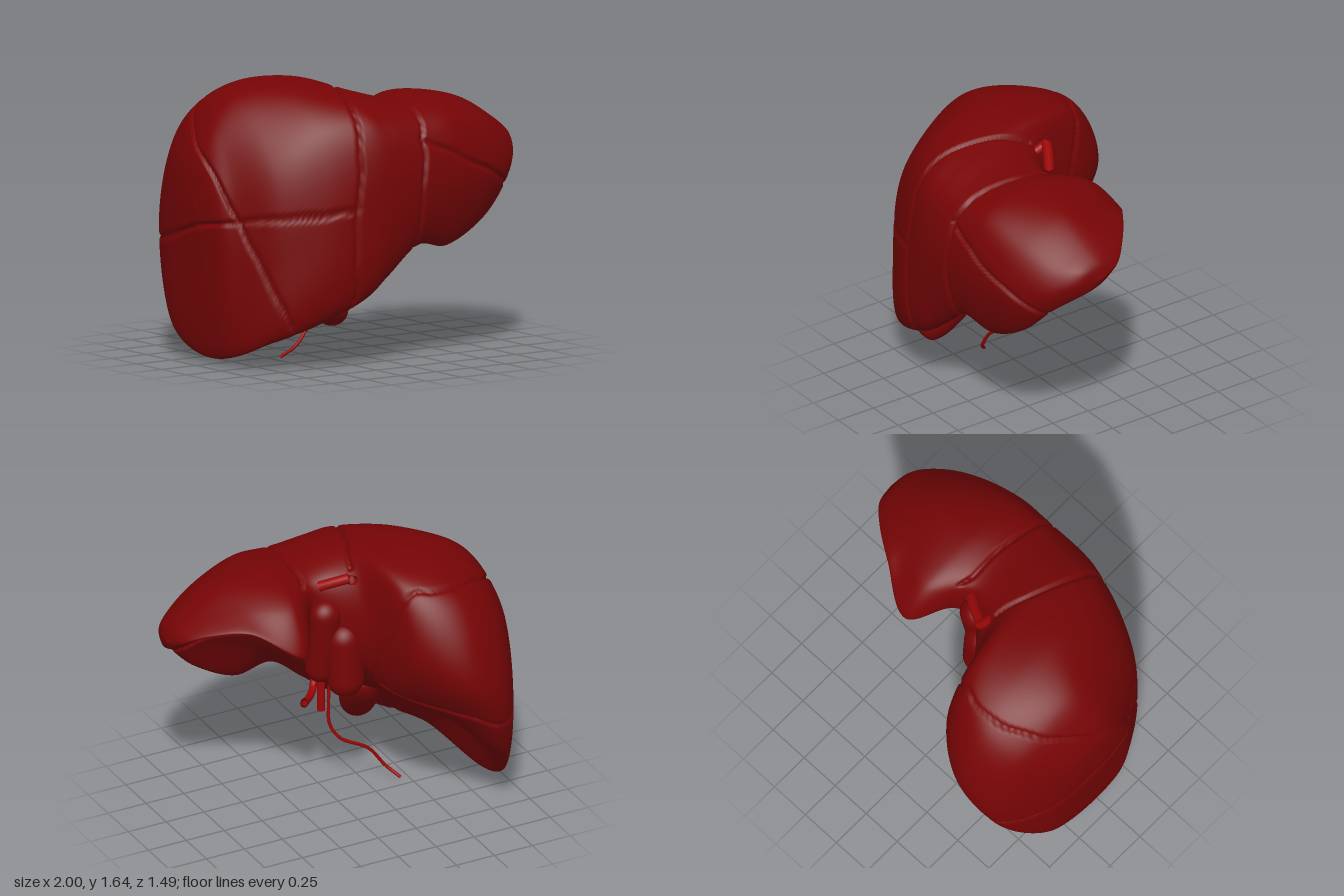
import * as THREE from 'three';

const V = (x, y, z) => new THREE.Vector3(x, y, z);
const curve = (pts, closed = false) =>
  new THREE.CatmullRomCurve3(pts.map((p) => (p.isVector3 ? p : V(...p))), closed, 'centripetal');

// Cross-sections at x, each a loop of [z, y]:
// front edge, front, upper front, top, upper back, back edge, hollow back, hollow front
const rightSections = [
  [-0.975, [[0.1, 0.7], [0.16, 0.84], [0.13, 1.06], [0, 1.2], [-0.17, 1.14], [-0.25, 0.9], [-0.17, 0.72], [0, 0.63]]],
  [-0.9, [[0.2, 0.1], [0.29, 0.6], [0.22, 1.12], [0, 1.38], [-0.34, 1.22], [-0.48, 0.76], [-0.38, 0.19], [-0.08, 0.045]]],
  [-0.75, [[0.43, 0.17], [0.5, 0.65], [0.41, 1.22], [-0.02, 1.55], [-0.49, 1.36], [-0.7, 0.8], [-0.56, 0.4], [-0.1, 0.42]]],
  [-0.5, [[0.57, 0.28], [0.65, 0.8], [0.52, 1.4], [0.05, 1.635], [-0.53, 1.48], [-0.745, 0.95], [-0.52, 0.66], [-0.04, 0.6]]],
  [-0.23, [[0.63, 0.41], [0.72, 0.88], [0.62, 1.44], [0.2, 1.61], [-0.38, 1.55], [-0.56, 1.12], [-0.36, 0.83], [0.05, 0.71]]],
];
const leftSections = [
  [-0.08, [[0.62, 0.52], [0.735, 0.95], [0.65, 1.41], [0.33, 1.565], [-0.03, 1.51], [-0.17, 1.2], [-0.1, 0.94], [0.24, 0.8]]],
  [0.15, [[0.62, 0.69], [0.735, 1.05], [0.64, 1.41], [0.35, 1.515], [0.06, 1.46], [0.02, 1.29], [0.07, 0.91], [0.36, 0.82]]],
  [0.37, [[0.58, 0.66], [0.725, 1.05], [0.63, 1.42], [0.28, 1.535], [-0.12, 1.44], [-0.28, 1.19], [-0.02, 1.31], [0.35, 0.95]]],
  [0.65, [[0.56, 0.8], [0.67, 1.06], [0.58, 1.34], [0.3, 1.48], [0.02, 1.43], [-0.14, 1.35], [0.07, 1.34], [0.4, 1.06]]],
  [0.85, [[0.5, 1.0], [0.56, 1.1], [0.5, 1.26], [0.3, 1.37], [0.11, 1.36], [0, 1.32], [0.13, 1.29], [0.34, 1.14]]],
  [0.965, [[0.36, 1.12], [0.41, 1.18], [0.37, 1.25], [0.27, 1.285], [0.19, 1.28], [0.12, 1.25], [0.17, 1.2], [0.26, 1.14]]],
];

// Furrows between the segments, as rough paths that are pulled onto the surface
const furrows = [
  [[-0.1, 1.5, 0.02], [-0.2, 1.6, 0.35], [-0.28, 1.46, 0.6], [-0.31, 1.2, 0.69], [-0.34, 0.95, 0.7], [-0.33, 0.4, 0.64]],
  [[0.2, 1.48, 0], [0.18, 1.5, 0.4], [0.13, 1.3, 0.69], [0.1, 0.95, 0.73], [0.1, 0.68, 0.62]],
  [[0.12, 1.32, 0.69], [0.5, 1.15, 0.7], [0.82, 0.98, 0.52], [0.5, 1.1, 0.3], [0.2, 1.1, 0.1]],
  [[-0.34, 0.94, 0.7], [-0.6, 0.92, 0.6], [-0.9, 0.87, 0.27], [-0.985, 0.83, 0.02], [-0.85, 0.68, -0.52],
    [-0.58, 0.72, -0.68], [-0.35, 0.82, -0.4], [-0.2, 0.86, -0.15]],
  [[-0.2, 0.86, -0.15], [-0.2, 1.2, -0.32], [-0.24, 1.53, -0.44], [-0.5, 1.5, -0.46], [-0.72, 1.42, -0.33],
    [-0.87, 1.3, -0.12], [-0.94, 1.12, 0.12], [-0.89, 0.87, 0.27], [-0.78, 0.5, 0.45], [-0.65, 0.22, 0.5],
    [-0.5, 0.45, 0.2], [-0.2, 0.86, -0.15]],
];

function liverGeometry() {
  const sections = [...rightSections, ...leftSections];
  const rows = (sections.length + 1) * 20, cols = 256;
  // Eight rails run from the right pole to the left pole
  const rails = [...Array(8).keys()].map((k) => curve([
    [-1, 0.93, -0.03], ...sections.map(([x, loop]) => [x, loop[k][1], loop[k][0]]), [1, 1.2, 0.25]]));
  const points = [], index = [];
  for (let i = 0; i <= rows; i++) {
    const pole = i === 0 || i === rows;
    const loop = pole ? null : curve(rails.map((r) => r.getPoint(i / rows)), true);
    for (let j = 0; j < cols; j++) {
      points.push(pole ? rails[0].getPoint(i / rows) : loop.getPoint(j / cols));
      if (i === rows) continue;
      const k = (j + 1) % cols, a = i * cols + j, b = a + cols, c = (i + 1) * cols + k, d = i * cols + k;
      if (i < rows - 1) index.push(a, b, c);
      if (i > 0) index.push(a, c, d);
    }
  }
  const geo = new THREE.BufferGeometry().setFromPoints(points);
  geo.setIndex(index);
  geo.computeVertexNormals();

  // Press the furrows into the surface
  const nearest = (p) => points.reduce((best, q) =>
    (q.distanceToSquared(p) < best.distanceToSquared(p) ? q : best), points[0]);
  const press = new Float32Array(points.length);
  for (const f of furrows) {
    const line = curve(f).getSpacedPoints(f.length * 3).map(nearest)
      .filter((p, i, all) => i === 0 || p.distanceTo(all[i - 1]) > 0.03);
    const samples = curve(line).getSpacedPoints(280);
    points.forEach((p, i) => {
      let d2 = 1;
      for (const s of samples) d2 = Math.min(d2, p.distanceToSquared(s));
      press[i] = Math.max(press[i], 0.021 * Math.exp(-d2 / 0.00015));
    });
  }
  const normal = geo.attributes.normal, pos = geo.attributes.position;
  points.forEach((p, i) => {
    const q = p.clone().addScaledVector(V(0, 0, 0).fromBufferAttribute(normal, i), -press[i]);
    pos.setXYZ(i, q.x, q.y, q.z);
  });
  geo.computeVertexNormals();
  return geo;
}

export function createModel() {
  const liverRed = new THREE.MeshStandardMaterial({ color: 0x760405 });
  const vesselRed = new THREE.MeshStandardMaterial({ color: 0x9a0607 });
  liverRed.name = 'liver red';
  vesselRed.name = 'vessel red';
  vesselRed.side = THREE.DoubleSide;
  const model = new THREE.Group();
  model.name = 'liver';
  const add = (name, geo, mat) => {
    const mesh = new THREE.Mesh(geo, mat);
    mesh.name = name;
    model.add(mesh);
    return mesh;
  };
  const vessel = (name, radius, pts) =>
    add(name, new THREE.TubeGeometry(curve(pts), 12 * pts.length, radius, 14), vesselRed);
  // Rounded upright lobe with half-widths rx, rz and a given height, leaning along z
  const lobe = (name, center, rx, rz, height, lean = 0) => {
    const mesh = add(name, new THREE.CapsuleGeometry(rx, height - 2 * rx, 12, 32), liverRed);
    mesh.position.set(...center);
    mesh.scale.z = rz / rx;
    mesh.rotation.x = lean;
  };

  add('liverBody', liverGeometry(), liverRed);

  // Tail lobe beside the great vein
  lobe('caudateLobeLeft', [0.08, 1.08, 0.03], 0.1, 0.09, 0.56, -0.12);
  lobe('caudateLobeRight', [-0.02, 0.97, -0.05], 0.11, 0.1, 0.47, 0.05);

  // Gallbladder: a pear laid along its axis from the rounded end to the neck
  const base = V(-0.4, 0.28, 0.55), neck = V(-0.28, 0.66, 0.17);
  const axis = neck.clone().sub(base), length = axis.length();
  const profile = new THREE.SplineCurve([[0, 0], [0.07, 0.02], [0.105, 0.11], [0.11, 0.26], [0.095, 0.42], [0.06, 0.51], [0, length]]
    .map((p) => new THREE.Vector2(...p))).getPoints(40).map((p) => new THREE.Vector2(Math.max(p.x, 0), p.y));
  const bladder = add('gallbladder', new THREE.LatheGeometry(profile, 36), liverRed);
  bladder.position.copy(base);
  bladder.quaternion.setFromUnitVectors(V(0, 1, 0), axis.normalize());
  lobe('gallbladderNeck', [-0.16, 0.745, 0.25], 0.07, 0.08, 0.15);

  // Vessels and duct
  vessel('hepaticVeinLeft', 0.03, [[0.12, 1.46, 0.01], [0.05, 1.49, -0.035], [-0.03, 1.52, -0.08]]);
  vessel('hepaticVeinRight', 0.028, [[-0.06, 1.45, 0.03], [-0.055, 1.48, -0.03], [-0.05, 1.51, -0.1]]);
  vessel('portalVein', 0.024, [[0.07, 0.59, 0.08], [0.07, 0.7, 0.08], [0.07, 0.85, 0.08]]);
  vessel('hepaticArtery', 0.022, [[0.18, 0.67, 0.08], [0.15, 0.62, 0.14], [0.09, 0.575, 0.23], [0, 0.56, 0.33],
    [-0.04, 0.59, 0.38], [-0.05, 0.66, 0.4]]);
  vessel('bileDuct', 0.01, [[-0.45, 0.01, 0.07], [-0.38, 0.08, 0.13], [-0.28, 0.21, 0.145], [-0.09, 0.33, 0.145],
    [-0.03, 0.43, 0.16], [-0.025, 0.55, 0.165], [-0.03, 0.78, 0.16]]);
  return model;
}
